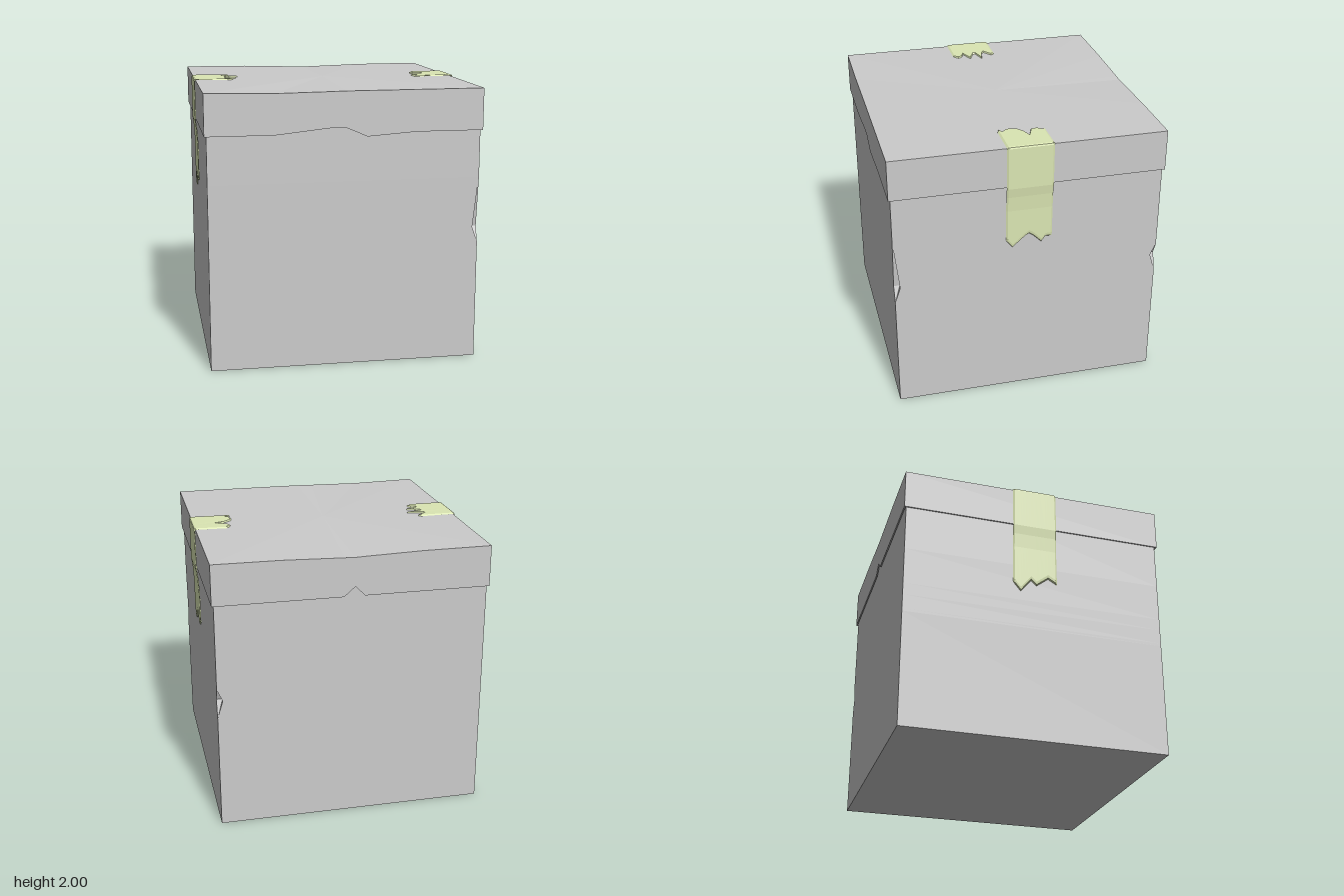
import * as THREE from 'three';

const card = new THREE.MeshStandardMaterial({ color: 0xcccccc });
const tapeMaterial = new THREE.MeshStandardMaterial({ color: 0xdbe6b3, side: THREE.DoubleSide });

// Skin a list of rows of points (top to bottom, left to right seen from outside)
function skin(rows, closed, material, name) {
  const out = [];
  const tri = (a, b, c) => {
    if (new THREE.Triangle(a, b, c).getArea() > 1e-9) for (const p of [a, b, c]) out.push(p.x, p.y, p.z);
  };
  for (let r = 0; r < rows.length - 1; r++) {
    const n = rows[r].length;
    for (let i = 0; i < (closed ? n : n - 1); i++) {
      const j = (i + 1) % n;
      tri(rows[r][i], rows[r + 1][i], rows[r + 1][j]);
      tri(rows[r][i], rows[r + 1][j], rows[r][j]);
    }
  }
  const geometry = new THREE.BufferGeometry();
  geometry.setAttribute('position', new THREE.Float32BufferAttribute(out, 3));
  geometry.computeVertexNormals();
  const mesh = new THREE.Mesh(geometry, material);
  mesh.name = name;
  return mesh;
}

// Piecewise linear lookup in [key, value] pairs with rising keys
function lookup(pairs, t) {
  if (t <= pairs[0][0]) return pairs[0][1];
  for (let i = 1; i < pairs.length; i++) {
    const [k0, v0] = pairs[i - 1], [k1, v1] = pairs[i];
    if (t <= k1) return v0 + (v1 - v0) * (t - k0) / (k1 - k0);
  }
  return pairs[pairs.length - 1][1];
}

const V = (x, y, z) => new THREE.Vector3(x, y, z);

// Box body with two knocked-in corners
function makeBody() {
  const w = 0.972, e = 0.04;
  const dents = {
    '1,1': [[0.87, 0], [0.98, 0.045], [1.35, 0]],
    '1,-1': [[0.85, 0], [0.98, 0.045], [1.07, 0]],
  };
  const ring = (y) => {
    const points = [];
    for (const [sx, sz] of [[-1, 1], [1, 1], [1, -1], [-1, -1]]) {
      const dent = dents[`${sx},${sz}`];
      const d = dent ? lookup(dent, y) : 0;
      // Spread of the dent across each face grows with its depth
      const s = w - Math.max(e * d / 0.045, 0.002);
      const alongX = V(sx * s, y, sz * w), alongZ = V(sx * w, y, sz * s);
      const corner = V(sx * (w - d), y, sz * (w - d));
      points.push(...(sx * sz > 0 ? [alongX, corner, alongZ] : [alongZ, corner, alongX]));
    }
    return points;
  };
  const cap = (y) => Array.from({ length: 12 }, () => V(0, y, 0));
  const heights = [1.95, 1.35, 1.07, 0.98, 0.87, 0.85, 0];
  return skin([cap(1.95), ...heights.map(ring), cap(0)], true, card, 'boxBody');
}

// Lid with worn lower and upper edges
function makeLid() {
  const w = 0.987;
  const frontLow = [[-w, 1.69], [-0.5, 1.69], [-0.12, 1.73], [0, 1.73], [0.15, 1.665], [0.5, 1.69], [w, 1.69]];
  const backLow = [[-w, 1.69], [-0.5, 1.69], [-0.08, 1.69], [-0.01, 1.76], [0.07, 1.69], [0.5, 1.69], [w, 1.69]];
  const frontTop = [[-w, 1.988], [-0.45, 1.977], [0, 1.986], [w, 1.988]];
  const backTop = [[-w, 1.988], [-0.35, 1.985], [0, 1.97], [0.35, 1.985], [w, 1.988]];
  const rim = [
    ...frontLow.map(([x, low]) => ({ x, z: w, low, top: lookup(frontTop, x) })),
    ...backLow.slice().reverse().map(([x, low]) => ({ x, z: -w, low, top: lookup(backTop, x) })),
  ];
  const k = 0.99;
  return skin([
    rim.map(() => V(0, 1.988, 0)),
    rim.map((p) => V(p.x, p.top, p.z)),
    rim.map((p) => V(p.x, p.low, p.z)),
    rim.map((p) => V(p.x * k, p.low, p.z * k)),
    rim.map((p) => V(p.x * k, 1.9, p.z * k)),
  ], true, card, 'lid');
}

// Torn tape strip folded over the lid edge; ends are [z, position] pairs
function makeTape(side, topEnd, lowEnd, name) {
  const half = 0.168;
  let zs = [...topEnd, ...lowEnd].map((p) => p[0]).concat(-half + 0.012, half - 0.012);
  zs = [...new Set(zs)].sort((a, b) => side * (b - a));
  const columns = zs.map((z) => {
    const sink = Math.abs(z) > half - 0.001 ? 0.008 : 0;
    const x0 = lookup(topEnd, z), y0 = lookup(lowEnd, z);
    const path = [
      [x0, 1.986], [x0 + 0.012, 1.998 - sink], [0.985, 2 - sink], [0.995 - sink, 1.996 - sink],
      [0.999 - sink, 1.985], [0.999 - sink, 1.68], [0.99 - sink, 1.61], [0.984 - sink, 1.5],
      [0.984 - sink, y0 + 0.03], [0.981 - sink, y0 + 0.008], [0.972, y0],
    ];
    return path.map(([x, y]) => V(side * x, y, z));
  });
  const rows = columns[0].map((_, r) => columns.map((c) => c[r]));
  return skin(rows, false, tapeMaterial, name);
}

export function createModel() {
  const model = new THREE.Group();
  model.name = 'cardboardBox';
  model.add(makeBody(), makeLid());
  model.add(makeTape(1,
    [[-0.168, 0.73], [-0.15, 0.75], [-0.11, 0.72], [-0.07, 0.73], [-0.035, 0.82], [-0.01, 0.75], [0.03, 0.7],
      [0.08, 0.69], [0.11, 0.7], [0.135, 0.73], [0.155, 0.69], [0.168, 0.73]],
    [[-0.168, 1.26], [-0.12, 1.26], [-0.09, 1.22], [-0.03, 1.28], [0, 1.3], [0.03, 1.28], [0.12, 1.2], [0.168, 1.26]],
    'leftTape'));
  model.add(makeTape(-1,
    [[-0.168, 0.73], [-0.14, 0.71], [-0.09, 0.78], [-0.07, 0.75], [-0.05, 0.65], [-0.02, 0.76], [0, 0.76],
      [0.04, 0.67], [0.08, 0.77], [0.1, 0.72], [0.13, 0.7], [0.168, 0.74]],
    [[-0.168, 1.21], [-0.11, 1.14], [-0.03, 1.24], [0.01, 1.2], [0.1, 1.27], [0.168, 1.23]],
    'rightTape'));
  return model;
}
